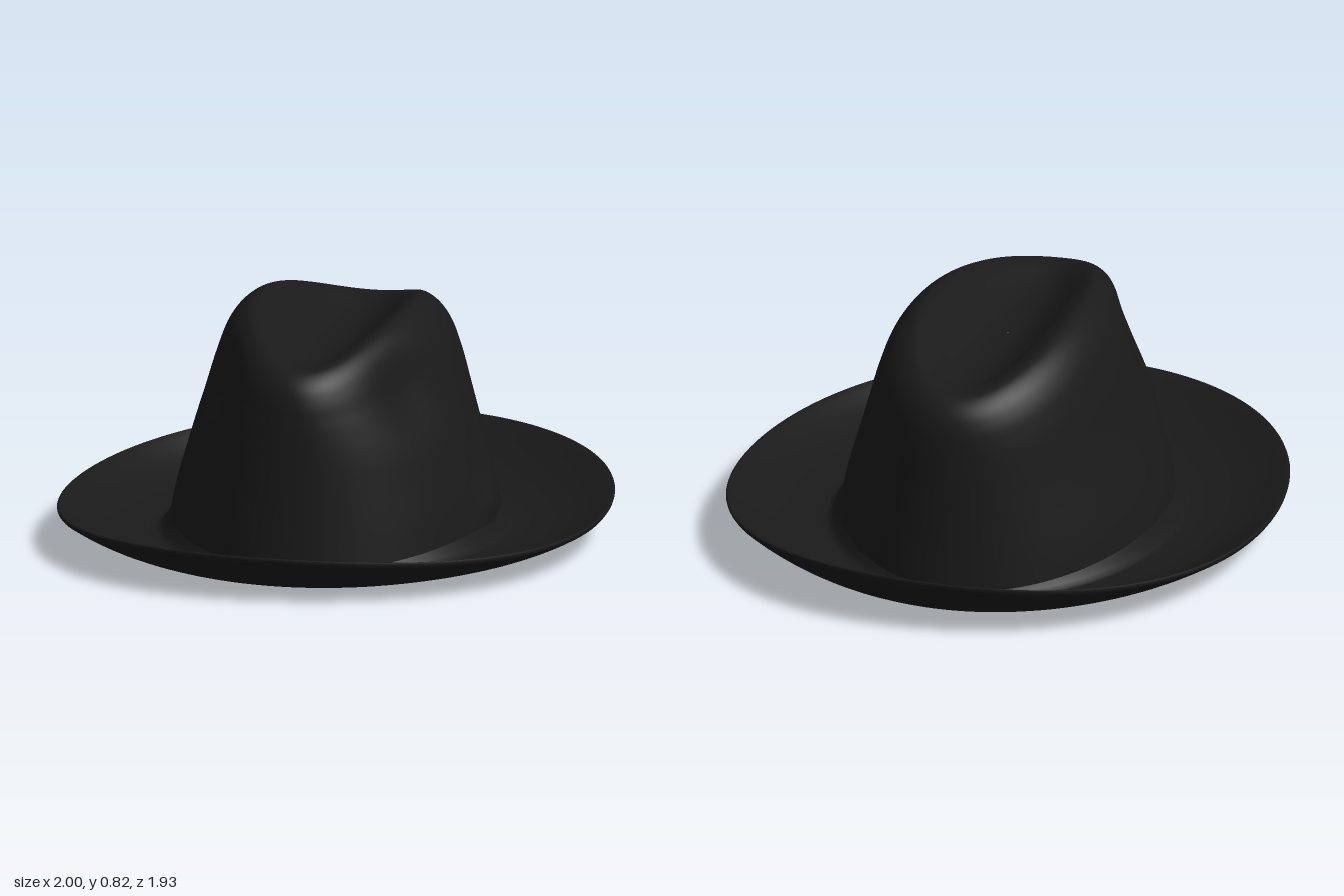
import * as THREE from 'three';

const SEG = 128;

// Skin a surface over closed rings; point(row, phi) returns [x, y, z].
function loft(rows, point, material, name) {
  const pos = [], idx = [];
  rows.forEach((row) => {
    for (let j = 0; j < SEG; j++) pos.push(...point(row, (j / SEG) * Math.PI * 2));
  });
  for (let i = 0; i < rows.length - 1; i++) {
    for (let j = 0; j < SEG; j++) {
      const a = i * SEG + j, b = i * SEG + ((j + 1) % SEG);
      idx.push(a, a + SEG, b, b, a + SEG, b + SEG);
    }
  }
  const geo = new THREE.BufferGeometry();
  geo.setAttribute('position', new THREE.Float32BufferAttribute(pos, 3));
  geo.setIndex(idx);
  geo.computeVertexNormals();
  const mesh = new THREE.Mesh(geo, material);
  mesh.name = name;
  return mesh;
}

// Crown profile: half length, half width and height, from the base to the crease bottom
const profile = new THREE.CatmullRomCurve3([
  [0.69, 0.555, 0.03], [0.684, 0.528, 0.18], [0.68, 0.48, 0.35], [0.678, 0.435, 0.5],
  [0.675, 0.395, 0.63], [0.667, 0.355, 0.73], [0.645, 0.31, 0.787], [0.6, 0.258, 0.814],
  [0.54, 0.205, 0.793], [0.435, 0.145, 0.742], [0.28, 0.09, 0.705], [0.13, 0.045, 0.688], [0.001, 0.001, 0.684],
].map((p) => new THREE.Vector3(...p)));

// Smooth round bump of given radii centred on (cx, cy)
const bump = (x, y, cx, cy, rx, ry) => Math.exp(-(((x - cx) / rx) ** 2) - ((y - cy) / ry) ** 2);

// Crown surface: top falls away to both ends, narrows to the front (-x), with two finger dents
function crownPoint(p, phi) {
  let x = p.x * Math.cos(phi), z = p.y * Math.sin(phi), y = p.z;
  const up = THREE.MathUtils.smoothstep(y, 0.35, 0.75);
  y *= 1 - 0.15 * up * (x / 0.62) ** 2;
  y -= 0.03 * up * z;
  z *= 1 + 0.08 * up * (x / 0.65);
  z *= 1 - 0.1 * bump(x, y, -0.36, 0.6, 0.15, 0.13);
  // soft knot pressed out of the left side
  if (z > 0) z += 0.02 * bump(x, y, -0.07, 0.16, 0.07, 0.05);
  return [x, y, z];
}

// Brim: k runs from the head opening (0) to the rim (1), lift is height above the underside
function brimPoint([k, lift], phi) {
  const twist = Math.sin(2 * phi);
  const low = 0.008 - 0.008 * Math.cos(2 * phi);
  const rim = 0.157 + 0.023 * Math.cos(phi) + 0.028 * Math.cos(2 * phi) + 0.01 * twist;
  const y = low + (rim - 0.018 - low) * k ** 2.5 + lift;
  const bulge = 1 + k * (0.025 * twist ** 2 + 0.009 * twist);
  return [(0.66 + 0.342 * k) * bulge * Math.cos(phi), y, (0.535 + 0.38 * k) * bulge * Math.sin(phi)];
}

export function createModel() {
  const felt = new THREE.MeshStandardMaterial({ color: 0x1a1a1a });
  felt.name = 'black felt';
  const leather = new THREE.MeshStandardMaterial({ color: 0x5f372e, side: THREE.DoubleSide });
  leather.name = 'brown leather';
  const satin = new THREE.MeshStandardMaterial({ color: 0xd0cccb, side: THREE.DoubleSide });
  satin.name = 'pale satin';

  const hat = new THREE.Group();
  hat.name = 'hat';

  // Brim section: underside outwards, round the rim, back along the top, up to the crown
  const section = [[0, 0.03], [0, 0.006]];
  for (let i = 1; i <= 14; i++) section.push([(i / 14) * 0.98, 0]);
  section.push([0.995, 0.004], [1, 0.01], [0.995, 0.017], [0.98, 0.021]);
  for (let i = 12; i >= 2; i--) section.push([i / 13, 0.024]);
  section.push([0.12, 0.028], [0.09, 0.04], [0.06, 0.06], [0.02, 0.085]);
  hat.add(loft(section, brimPoint, felt, 'brim'));

  // Crown
  const rows = profile.getPoints(72);
  hat.add(loft(rows, crownPoint, felt, 'crown'));

  // Lining: the crown shape set inwards, facing the inside
  const liningPoint = (p, phi) => {
    const [x, y, z] = crownPoint(p, phi);
    return [x * 0.965, y - 0.02, z * 0.95];
  };
  hat.add(loft(rows.filter((p) => p.z > 0.2).reverse(), liningPoint, satin, 'lining'));

  // Sweatband inside the opening, leaning inwards and higher along the sides
  const bandPoint = ([a, b, y, rise], phi) =>
    [a * Math.cos(phi), y + rise * Math.sin(phi) ** 2, b * Math.sin(phi)];
  hat.add(loft([[0.638, 0.45, 0.265, 0.03], [0.645, 0.492, 0.15, 0.01], [0.662, 0.537, 0.03, 0]],
    bandPoint, leather, 'sweatband'));

  // The hat sits turned on its stand
  hat.rotation.y = THREE.MathUtils.degToRad(39);
  const model = new THREE.Group();
  model.name = 'feltHat';
  model.add(hat);
  return model;
}
